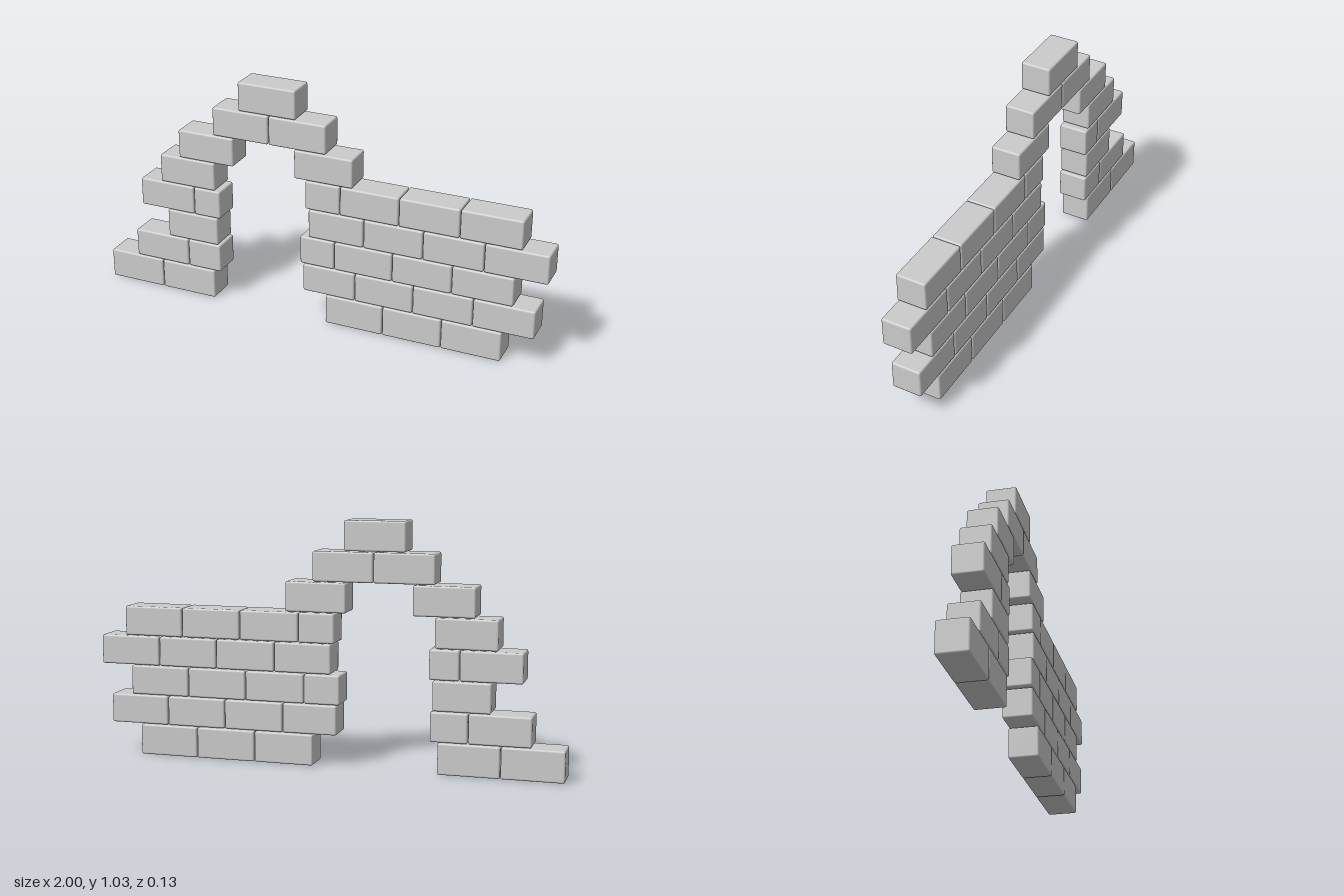
import * as THREE from 'three';
import { RoundedBoxGeometry } from 'three/addons/geometries/RoundedBoxGeometry.js';

const DEPTH = 0.128;
const PITCH = 0.1283; // height of one course
const FIRST_TOP = 0.1335; // top of the ground course
const GAP = 0.003; // joint between bricks
const BEVEL = 0.008;

// Each course, bottom to top: runs of bricks given by their joint positions in x
const COURSES = [
  [[-1, -0.74, -0.481], [0.05, 0.308, 0.567, 0.825]],
  [[-0.865, -0.606, -0.449], [-0.053, 0.182, 0.44, 0.699, 0.958]],
  [[-0.699, -0.458], [-0.066, 0.088, 0.346, 0.604, 0.864]],
  [[-0.826, -0.568, -0.443], [-0.028, 0.218, 0.476, 0.735, 1]],
  [[-0.724, -0.465], [-0.043, 0.112, 0.37, 0.629, 0.888]],
  [[-0.63, -0.373], [-0.092, 0.167]],
  [[-0.464, -0.208, 0.049]],
  [[-0.343, -0.085]],
];

export function createModel() {
  const wall = new THREE.Group();
  wall.name = 'ruinedBrickArch';
  const material = new THREE.MeshStandardMaterial({ color: 0xcccccc });

  COURSES.forEach((runs, row) => {
    const course = new THREE.Group();
    course.name = `course${row + 1}`;
    const top = FIRST_TOP + row * PITCH - GAP / 2;
    const bottom = row === 0 ? 0 : top - PITCH + GAP;

    for (const joints of runs) {
      for (let i = 0; i < joints.length - 1; i++) {
        // Only inner joints lose half a gap; the ends of a run stay exact
        const x0 = joints[i] + (i > 0 ? GAP / 2 : 0);
        const x1 = joints[i + 1] - (i < joints.length - 2 ? GAP / 2 : 0);
        const brick = new THREE.Mesh(
          new RoundedBoxGeometry(x1 - x0, top - bottom, DEPTH, 2, BEVEL),
          material
        );
        brick.name = 'brick';
        brick.position.set((x0 + x1) / 2, (top + bottom) / 2, 0);
        course.add(brick);
      }
    }
    wall.add(course);
  });

  return wall;
}
